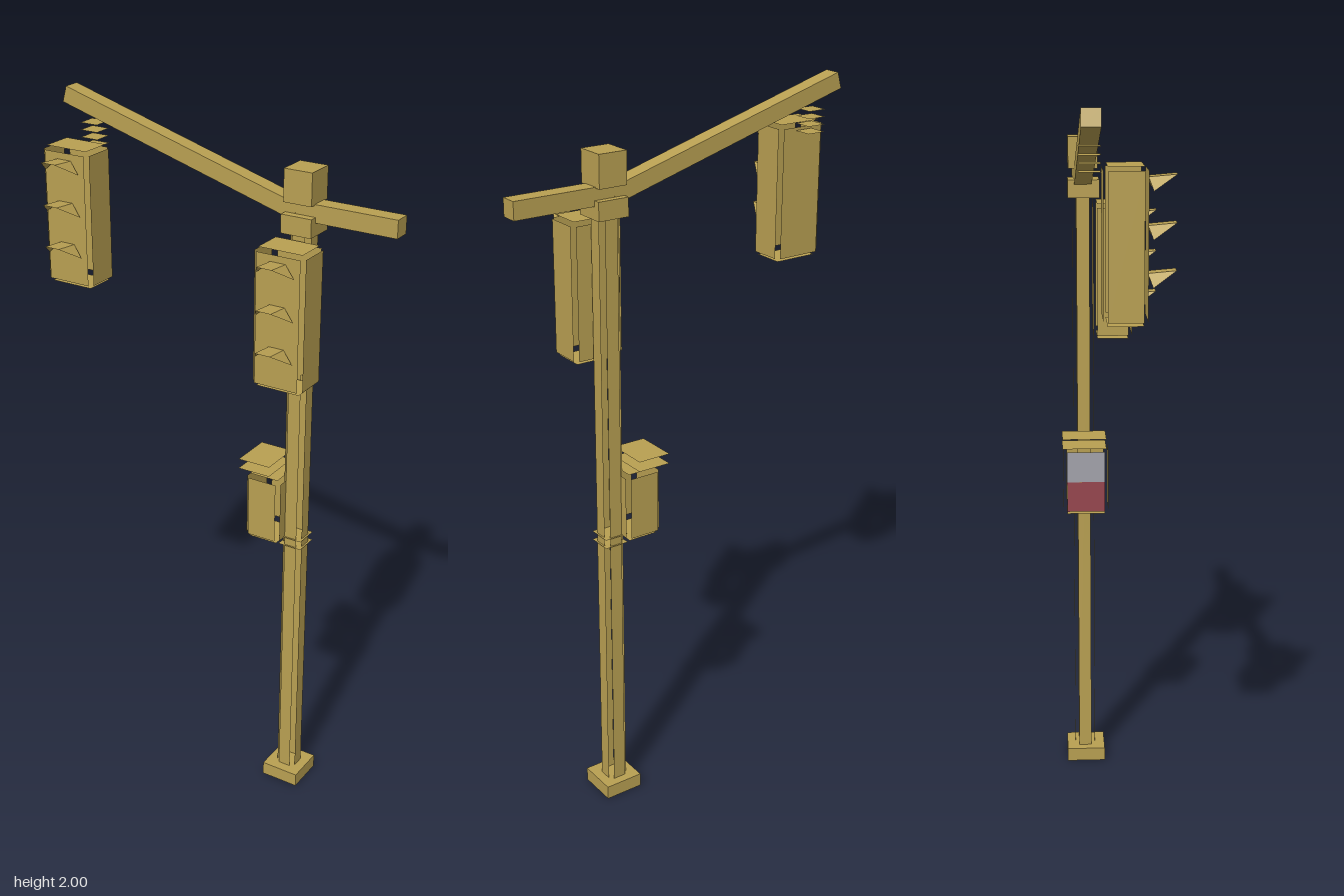
import * as THREE from 'three';

const olive = new THREE.MeshStandardMaterial({ color: 0xb9a052, side: THREE.DoubleSide });
olive.name = 'olive metal';
const grey = new THREE.MeshStandardMaterial({ color: 0xa4a4ac });
grey.name = 'grey panel';
const red = new THREE.MeshStandardMaterial({ color: 0x98464f });
red.name = 'dark red panel';

const POLE_X = 0.232, POLE_Z = -0.073;

function box(name, x, y, z, w, h, d) {
  const m = new THREE.Mesh(new THREE.BoxGeometry(w, h, d), olive);
  m.name = name;
  m.position.set(x, y, z);
  return m;
}

// Flat sheet facing along an axis direction
function sheet(name, pos, w, h, rx, ry, mat = olive) {
  const m = new THREE.Mesh(new THREE.PlaneGeometry(w, h), mat);
  m.name = name;
  m.position.set(...pos);
  m.rotation.set(rx, ry, 0);
  return m;
}

// Casing of separate sheets with open edges; gap is how far each sheet stands off
function casing(name, w, h, d, gap, skip = []) {
  const g = new THREE.Group();
  g.name = name;
  const q = Math.PI / 2;
  const sides = {
    front: [[0, 0, d / 2 + gap], w, h, 0, 0],
    back: [[0, 0, -d / 2 - gap], w, h, 0, Math.PI],
    left: [[w / 2 + gap, 0, 0], d, h, 0, q],
    right: [[-w / 2 - gap, 0, 0], d, h, 0, -q],
    top: [[0, h / 2 + gap, 0], w, d, -q, 0],
    bottom: [[0, -h / 2 - gap, 0], w, d, q, 0],
  };
  for (const [key, args] of Object.entries(sides))
    if (!skip.includes(key)) g.add(sheet(key + 'Sheet', ...args));
  return g;
}

// Stack of level sheets
function stack(name, x, z, w, d, heights) {
  const g = new THREE.Group();
  g.name = name;
  heights.forEach((y) => g.add(sheet('levelSheet', [x, y, z], w, d, -Math.PI / 2, 0)));
  return g;
}

// Hood over a lamp: flat top and two drooping side flaps
function visor() {
  const geo = new THREE.BufferGeometry();
  const a = 0.022, b = 0.054;
  geo.setAttribute('position', new THREE.Float32BufferAttribute([
    -a, -0.006, 0, -a, 0, 0.07, a, 0, 0.07,
    -a, -0.006, 0, a, 0, 0.07, a, -0.006, 0,
    a, -0.006, 0, a, 0, 0.07, b, -0.037, 0.011,
    -a, 0, 0.07, -a, -0.006, 0, -b, -0.037, 0.011,
  ], 3));
  geo.computeVertexNormals();
  const m = new THREE.Mesh(geo, olive);
  m.name = 'visor';
  return m;
}

function signal(name, x, y) {
  const g = casing(name, 0.128, 0.36, 0.088, 0.01);
  for (let i = 0; i < 3; i++) {
    const v = visor();
    v.position.set(0, 0.168 - i * 0.115, 0.055);
    g.add(v);
  }
  g.position.set(x, y, 0.01);
  return g;
}

export function createModel() {
  const model = new THREE.Group();
  model.name = 'trafficSignal';

  // Base, pole and pole head
  model.add(box('base', POLE_X, 0.02, -0.071, 0.113, 0.04, 0.113));
  const pole = casing('pole', 0.037, 1.69, 0.037, 0.011, ['top', 'bottom']);
  pole.position.set(POLE_X, 0.88, POLE_Z);
  model.add(pole);
  model.add(box('collar', POLE_X, 1.742, -0.071, 0.088, 0.05, 0.088));
  model.add(box('cap', POLE_X, 1.841, POLE_Z, 0.081, 0.087, 0.082));

  // Short level arm and long rising arm
  model.add(box('shortArm', 0.361, 1.776, POLE_Z, 0.285, 0.048, 0.048));
  const len = 0.745, tilt = -0.279;
  const arm = box('longArm', -0.499 + Math.cos(tilt) * len / 2, 1.975 + Math.sin(tilt) * len / 2,
    POLE_Z, len, 0.045, 0.048);
  arm.rotation.z = tilt;
  model.add(arm);

  // Signal heads and hanger
  model.add(signal('poleSignal', 0.235, 1.512));
  model.add(signal('hangingSignal', -0.422, 1.672));
  model.add(stack('hanger', -0.422, -0.075, 0.054, 0.054, [1.905, 1.885, 1.865, 1.845]));

  // Control box with a two-colour side panel, roof sheets and pole clamp
  const control = casing('controlBox', 0.086, 0.177, 0.109, 0.01);
  control.add(sheet('upperPanel', [-0.055, 0.0443, 0], 0.109, 0.0885, 0, -Math.PI / 2, grey));
  control.add(sheet('lowerPanel', [-0.055, -0.0443, 0], 0.109, 0.0885, 0, -Math.PI / 2, red));
  control.position.set(0.159, 0.9165, -0.07);
  model.add(control);
  model.add(stack('controlRoof', 0.128, -0.075, 0.097, 0.125, [1.05, 1.022]));
  model.add(stack('poleClamp', POLE_X, POLE_Z, 0.07, 0.07, [0.83, 0.805]));

  return model;
}
